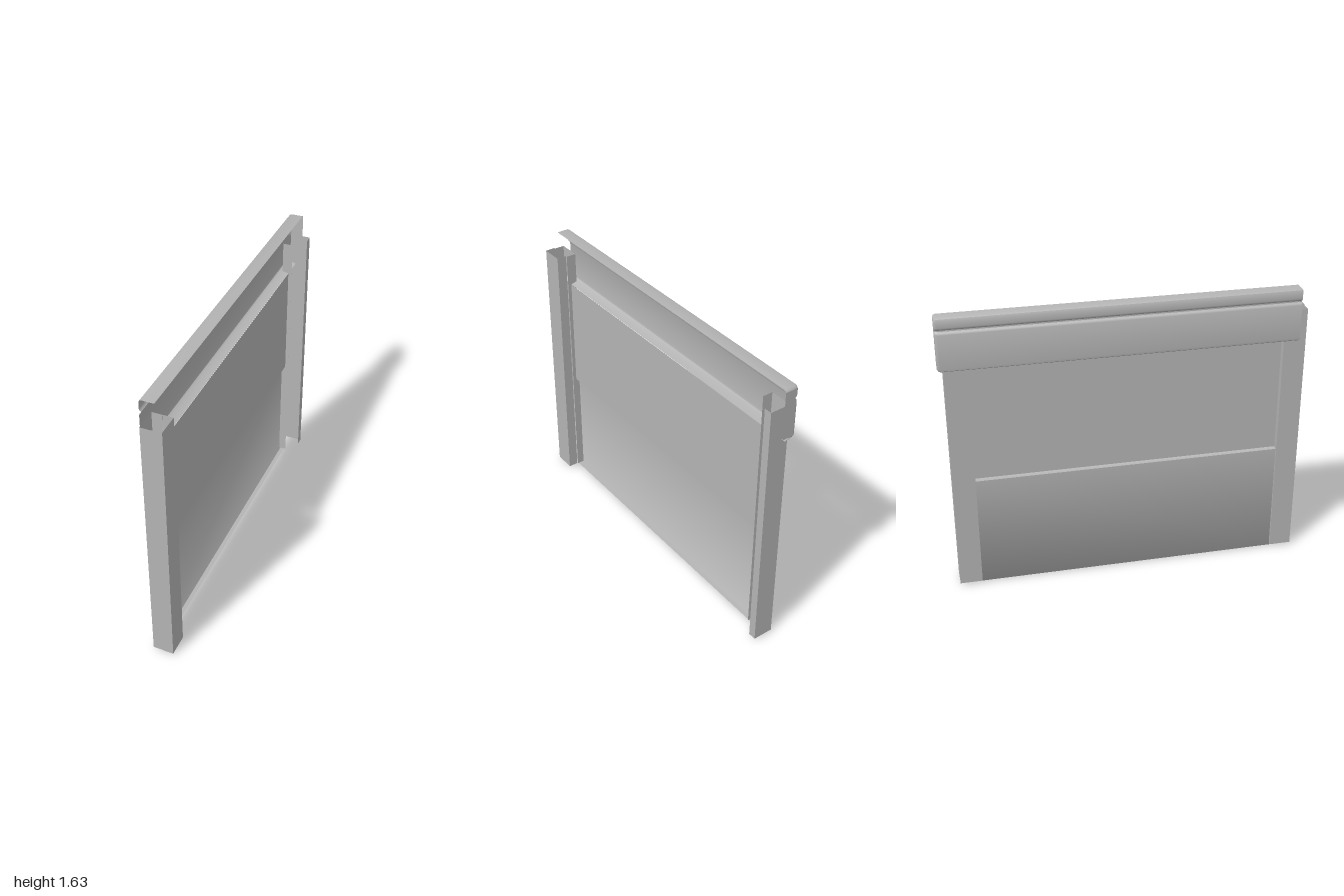
import * as THREE from 'three';
import { toCreasedNormals } from 'three/addons/utils/BufferGeometryUtils.js';

const steel = new THREE.MeshStandardMaterial({ color: 0xb4b4b4, side: THREE.DoubleSide });
steel.name = 'galvanised grey';

// Thin folded sheet: joins matching open cross-sections, each a list of [x, y, z]
function sheet(name, sections) {
  const n = sections[0].length;
  const index = [];
  for (let s = 0; s < sections.length - 1; s++) {
    for (let i = 0; i < n - 1; i++) {
      const a = s * n + i, b = a + n;
      index.push(a, a + 1, b, b, a + 1, b + 1);
    }
  }
  const geo = new THREE.BufferGeometry();
  geo.setAttribute('position', new THREE.Float32BufferAttribute(sections.flat(2), 3));
  geo.setIndex(index);
  const mesh = new THREE.Mesh(toCreasedNormals(geo, 0.7), steel);
  mesh.name = name;
  return mesh;
}

// Profile in x/y run along z
const alongZ = (name, profile, z0, z1) =>
  sheet(name, [z0, z1].map(z => profile.map(([x, y]) => [x, y, z])));
// Profile in x/z run upwards
const alongY = (name, profile, y0, y1) =>
  sheet(name, [y0, y1].map(y => profile.map(([x, z]) => [x, y, z])));

export function createModel() {
  const model = new THREE.Group();
  model.name = 'fencePanel';

  // Posts: a lipped channel at each end, the front one closed by a cover
  const channel = (outer, dir) => [
    [0.007, outer - dir * 0.125], [-0.05, outer - dir * 0.125], [-0.05, outer],
    [0.065, outer], [0.065, outer - dir * 0.045],
  ];
  model.add(alongY('backPost', channel(-0.97, -1), 0.013, 1.51));
  model.add(alongY('frontPost', channel(0.998, 1), 0.013, 1.506));
  model.add(alongY('frontPostCover',
    [[0.01, 0.877], [0.066, 0.877], [0.066, 1], [0.01, 1]], 0.013, 1.51));

  // Boards: upper one stands forward of the lower, which has a bottom flange
  const boards = [
    [-0.014, 1.32], [-0.014, 0.662], [-0.018, 0.658], [-0.036, 0.656],
    [-0.036, 0.006], [-0.032, 0.001], [-0.008, 0],
  ];
  model.add(alongZ('boards', boards, 0.963, -0.905));

  // Top rail: rounded cap, groove, deep face and sloping ledge
  const rail = [
    [0.01, 1.627], [-0.057, 1.627], [-0.066, 1.623], [-0.07, 1.612], [-0.07, 1.576],
    [-0.067, 1.567], [-0.059, 1.561], [-0.059, 1.554], [-0.067, 1.548], [-0.07, 1.538],
    [-0.07, 1.35], [-0.067, 1.338], [-0.058, 1.332], [-0.014, 1.322],
  ];
  const inset = e => rail.map(([x, y]) => [
    x < -0.05 ? x + e : x,
    y > 1.6 ? y - e : y < 1.36 ? y + e : y,
  ]);
  const ends = [[0.955, 0], [-0.984, 0], [-0.995, 0.004], [-1, 0.012]];
  model.add(sheet('topRail', ends.map(([z, e]) => inset(e).map(([x, y]) => [x, y, z]))));

  // Closed end of the rail
  const outline = [...inset(0.012).slice(0, -1), [0.01, 1.344]];
  const endShape = new THREE.Shape(outline.map(([x, y]) => new THREE.Vector2(x, y)));
  const railEnd = new THREE.Mesh(new THREE.ShapeGeometry(endShape), steel);
  railEnd.name = 'railEnd';
  railEnd.position.z = -1;
  model.add(railEnd);

  return model;
}
